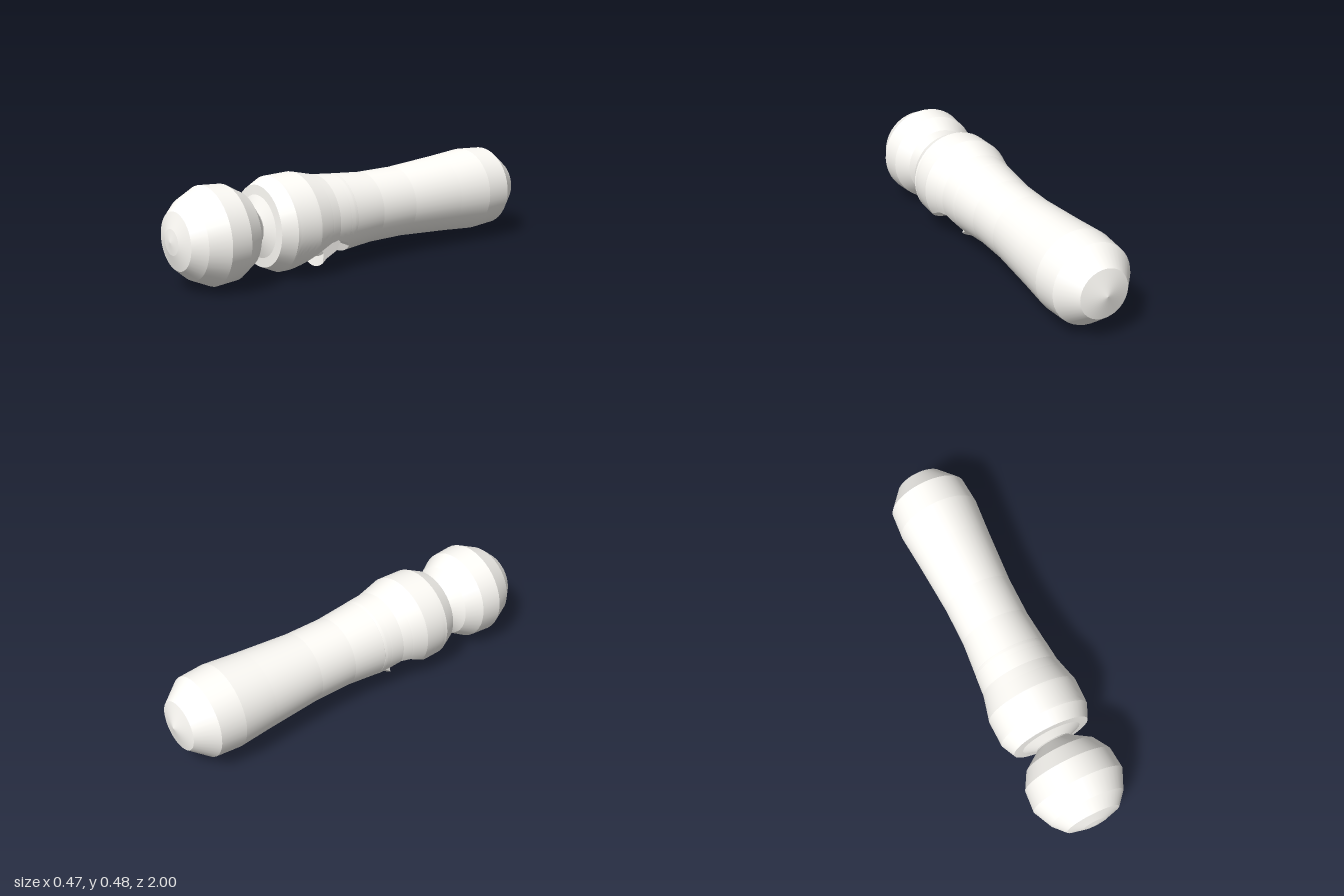
import * as THREE from 'three';
import { mergeGeometries, toCreasedNormals } from 'three/addons/utils/BufferGeometryUtils.js';
import { ParametricGeometry } from 'three/addons/geometries/ParametricGeometry.js';

const AXIS_Y = 0.247;
const material = new THREE.MeshStandardMaterial({ color: 0xfffdf8, side: THREE.DoubleSide });
const { lerp, clamp } = THREE.MathUtils;

// Turned shape along z from [z, radius] pairs; each band keeps crisp rims.
function turned(profile) {
  const bands = [];
  for (let i = 0; i < profile.length - 1; i++) {
    const pts = [profile[i], profile[i + 1]].map(([z, r]) => new THREE.Vector2(r, z));
    bands.push(new THREE.LatheGeometry(pts, 40));
  }
  const geo = mergeGeometries(bands);
  geo.rotateX(Math.PI / 2);
  geo.translate(0, AXIS_Y, 0);
  return geo;
}

// Round bar with a flat cut across its underside, from [z, radius, cut height] rows.
function notched(rows) {
  const parts = [];
  for (let i = 0; i < rows.length - 1; i++) {
    const at = (v) => {
      const [z, r, y] = rows[i].map((n, k) => lerp(n, rows[i + 1][k], v));
      return { z, r, y, corner: Math.acos(clamp((AXIS_Y - y) / r, -1, 1)) };
    };
    const skin = new ParametricGeometry((u, v, out) => {
      const { z, r, corner } = at(v);
      const t = lerp(corner, 2 * Math.PI - corner, u);
      out.set(r * Math.sin(t), AXIS_Y - r * Math.cos(t), z);
    }, 40, 8);
    const cut = new ParametricGeometry((u, v, out) => {
      const { z, r, y, corner } = at(v);
      out.set(r * Math.sin(corner) * (2 * u - 1), y, z);
    }, 4, 8);
    for (const geo of [skin, cut]) {
      geo.computeVertexNormals();
      parts.push(geo);
    }
  }
  return mergeGeometries(parts);
}

function addMesh(group, name, geo) {
  const mesh = new THREE.Mesh(geo, material);
  mesh.name = name;
  group.add(mesh);
}

export function createModel() {
  const group = new THREE.Group();
  group.name = 'handle';

  // Long waisted grip
  addMesh(group, 'grip', turned([
    [-1, 0], [-0.97, 0.122], [-0.87, 0.2], [-0.74, 0.209], [-0.56, 0.194],
    [-0.28, 0.175], [-0.08, 0.175], [0.09, 0.19]]));

  // Thicker front of the grip, cut away underneath
  addMesh(group, 'notchedSection', notched([
    [0.09, 0.19, 0.057], [0.105, 0.192, 0.11], [0.13, 0.194, 0.135], [0.2, 0.2, 0.165],
    [0.25, 0.212, 0.16], [0.33, 0.232, 0.122], [0.46, 0.229, 0.018]]));

  // Collar closing the front of the grip
  addMesh(group, 'collar', turned([[0.46, 0.229], [0.53, 0.196], [0.533, 0.15], [0.56, 0.08]]));

  // Rounded knob on the front
  addMesh(group, 'knob', turned([
    [0.55, 0.08], [0.565, 0.09], [0.63, 0.18], [0.71, 0.226], [0.815, 0.234],
    [0.91, 0.19], [0.97, 0.137], [0.992, 0.061], [1, 0]]));

  // Hooked tongue hanging in the notch, rounded across its width
  const outline = [[0.3, 0.18], [0.31, 0.125], [0.25, 0.1], [0.215, 0.05], [0.222, 0],
    [0.2, 0.02], [0.14, 0.05], [0.108, 0.105], [0.11, 0.18]];
  const hook = new THREE.ExtrudeGeometry(new THREE.Shape(outline.map(([z, y]) => new THREE.Vector2(z, y))),
    { depth: 0.16, steps: 10, bevelEnabled: false });
  hook.translate(0, 0, -0.08);
  hook.rotateY(-Math.PI / 2);
  const h = hook.attributes.position;
  for (let i = 0; i < h.count; i++) h.setY(i, h.getY(i) + 4.5 * h.getX(i) ** 2);
  addMesh(group, 'hook', toCreasedNormals(hook, 0.3));

  return group;
}
